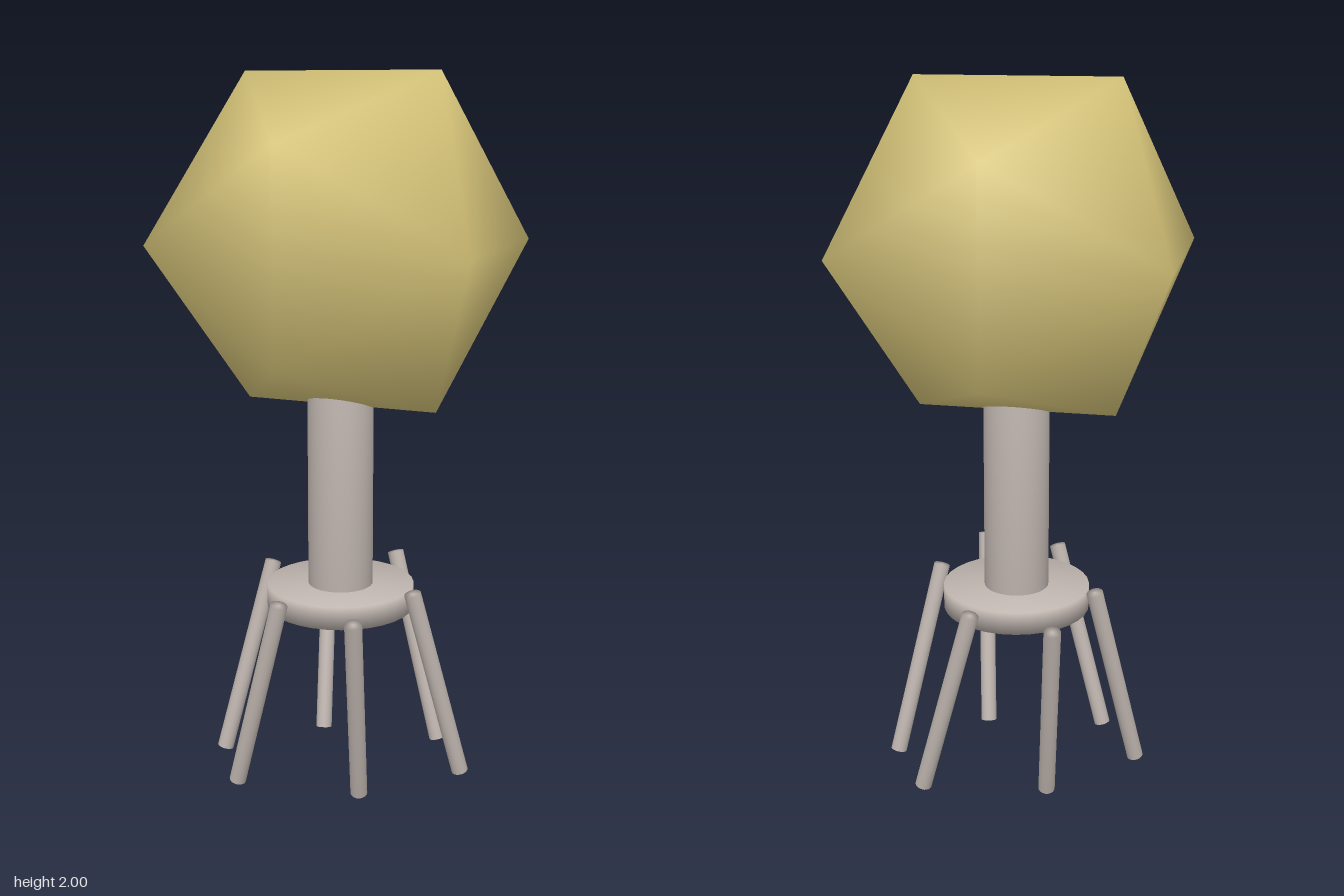
import * as THREE from 'three';
import { mergeVertices } from 'three/addons/utils/BufferGeometryUtils.js';

// Weld all corners so that shading runs smoothly over every edge
function smooth(geometry) {
  geometry.deleteAttribute('normal');
  geometry.deleteAttribute('uv');
  const welded = mergeVertices(geometry, 1e-4);
  welded.computeVertexNormals();
  return welded;
}

export function createModel() {
  const gold = new THREE.MeshStandardMaterial({ color: 0xd8c67a });
  gold.name = 'pale gold';
  const grey = new THREE.MeshStandardMaterial({ color: 0xbfb5af });
  grey.name = 'warm grey';

  const model = new THREE.Group();
  model.name = 'bacteriophage';

  function add(name, geometry, material, y) {
    const mesh = new THREE.Mesh(smooth(geometry), material);
    mesh.name = name;
    mesh.position.y = y;
    model.add(mesh);
    return mesh;
  }

  // Twenty-sided head
  add('head', new THREE.IcosahedronGeometry(0.534, 0), gold, 1.546);

  // Tail tube reaching into the head, and the base plate under it
  add('tail', new THREE.CylinderGeometry(0.093, 0.093, 0.72, 32), grey, 0.86);
  add('basePlate', new THREE.CylinderGeometry(0.212, 0.212, 0.066, 32), grey, 0.533);

  // Six leg fibres in a ring; the lean turns against the ring direction
  const up = new THREE.Vector3(0, 1, 0);
  for (let i = 0; i < 6; i++) {
    const angle = (i * Math.PI) / 3;
    const lean = -Math.PI / 4 - angle;
    const axis = new THREE.Vector3(-0.162 * Math.cos(lean), 0.573, -0.162 * Math.sin(lean));
    const length = axis.length();
    const leg = add('leg' + (i + 1), new THREE.CylinderGeometry(0.024, 0.024, length, 16), grey, 0.294);
    leg.position.x = 0.297 * Math.cos(angle);
    leg.position.z = 0.297 * Math.sin(angle);
    leg.quaternion.setFromUnitVectors(up, axis.normalize());
  }

  return model;
}
